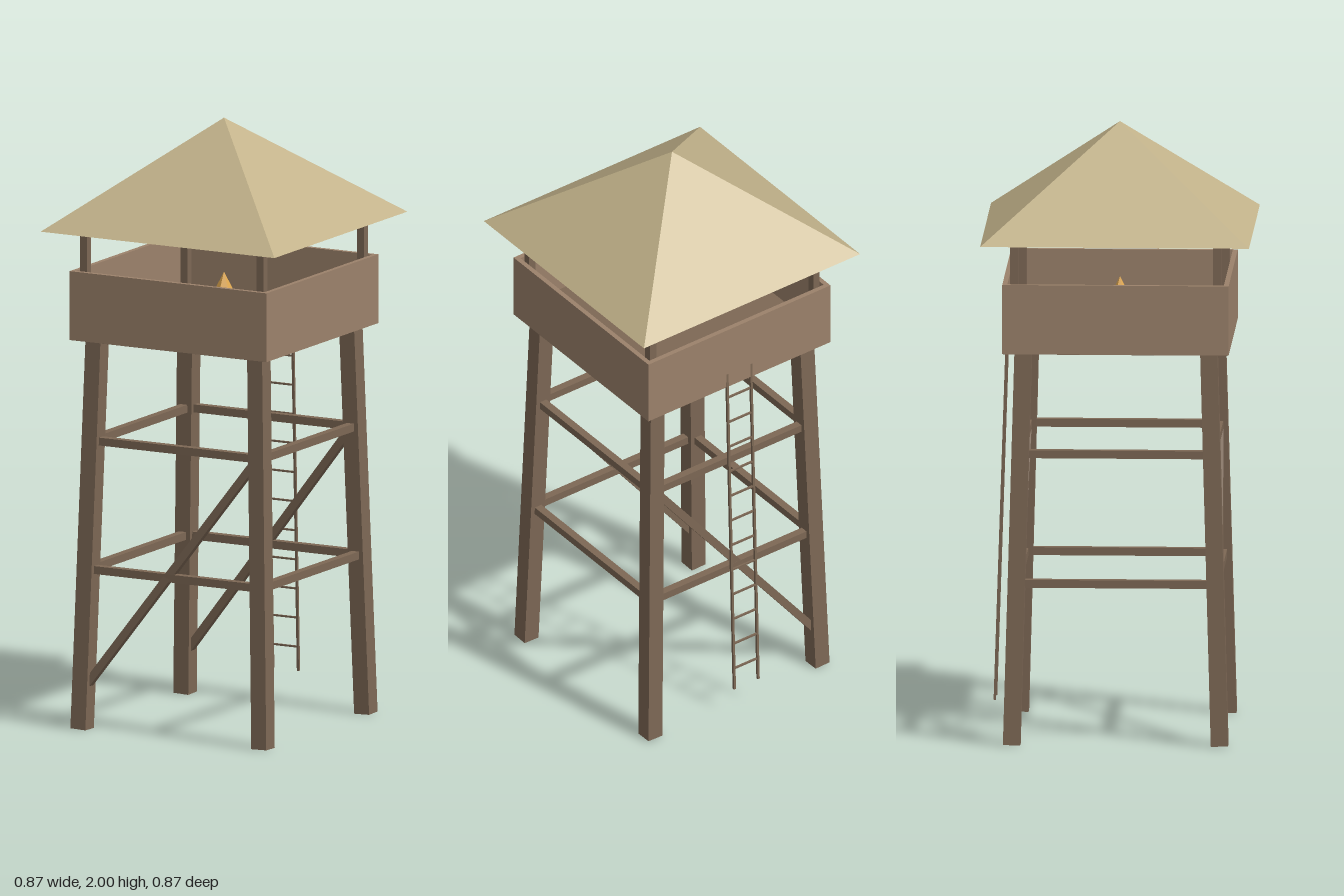
import * as THREE from 'three';

const mat = (color) => new THREE.MeshStandardMaterial({ color, flatShading: true });

export function createModel() {
  const tower = new THREE.Group();
  tower.name = 'watchtower';
  const wood = mat(0x7d6855), plank = mat(0x9c826b), thatch = mat(0xc2b28a);
  const iron = mat(0x4a4e58), flame = mat(0xe0a850);

  const add = (name, geometry, material, x = 0, y = 0, z = 0) => {
    const mesh = new THREE.Mesh(geometry, material);
    mesh.name = name;
    mesh.position.set(x, y, z);
    tower.add(mesh);
    return mesh;
  };
  const box = (name, w, h, d, material, x, y, z) =>
    add(name, new THREE.BoxGeometry(w, h, d), material, x, y, z);

  // Square timber running between two points
  const beam = (name, a, b, size, material = wood) => {
    const from = new THREE.Vector3(...a), dir = new THREE.Vector3(...b).sub(from);
    const mesh = box(name, size, dir.length(), size, material, 0, 0, 0);
    mesh.position.copy(from).addScaledVector(dir, 0.5);
    mesh.quaternion.setFromUnitVectors(new THREE.Vector3(0, 1, 0), dir.normalize());
  };

  // Distance of the leaning leg axis from the centre at height y
  const legAt = (y) => 0.338 - 0.036 * (y / 1.29);

  // Legs and roof posts at the four corners
  for (const sx of [-1, 1]) for (const sz of [-1, 1]) {
    const b = legAt(0), t = legAt(1.3);
    beam('leg', [sx * b, 0.002, sz * b], [sx * t, 1.3, sz * t], 0.056);
    box('roofPost', 0.026, 0.36, 0.026, wood, sx * 0.33, 1.49, sz * 0.33);
  }

  // Horizontal braces on all sides, diagonal braces front and back
  for (const s of [-1, 1]) {
    for (const y of [0.53, 0.955]) {
      const r = legAt(y);
      beam('crossBrace', [-r, y, s * r], [r, y, s * r], 0.026);
      beam('sideBrace', [s * r, y, -r], [s * r, y, r], 0.026);
    }
    beam('diagonalBrace', [-0.334, 0.13, s * legAt(0.13)], [0.31, 0.96, s * legAt(0.96)], 0.026);
  }

  // Platform floor and parapet
  box('floor', 0.73, 0.035, 0.73, wood, 0, 1.3075, 0);
  for (const s of [-1, 1]) {
    box('parapet', 0.736, 0.228, 0.016, plank, 0, 1.405, s * 0.36);
    box('sideParapet', 0.016, 0.228, 0.704, plank, s * 0.36, 1.405, 0);
  }

  // Pyramid roof
  const roof = new THREE.ConeGeometry(0.437 * Math.SQRT2, 0.345, 4);
  roof.rotateY(Math.PI / 4);
  add('roof', roof, thatch, 0, 1.8275, 0);

  // Ladder leaning against the back
  const ladderZ = (y) => -0.405 + (y - 0.1) * 0.033;
  for (const x of [-0.048, 0.048])
    beam('ladderRail', [x, 0.1, ladderZ(0.1)], [x, 1.42, ladderZ(1.42)], 0.008);
  for (let i = 0; i < 13; i++) {
    const y = 0.18 + i * 0.097;
    beam('ladderRung', [-0.048, y, ladderZ(y)], [0.048, y, ladderZ(y)], 0.006);
  }

  // Fire bowl in the middle of the floor
  add('fireBowl', new THREE.CylinderGeometry(0.072, 0.045, 0.075, 8), iron, 0, 1.3625, 0);
  add('fire', new THREE.ConeGeometry(0.045, 0.09, 6), flame, 0, 1.445, 0);

  return tower;
}
